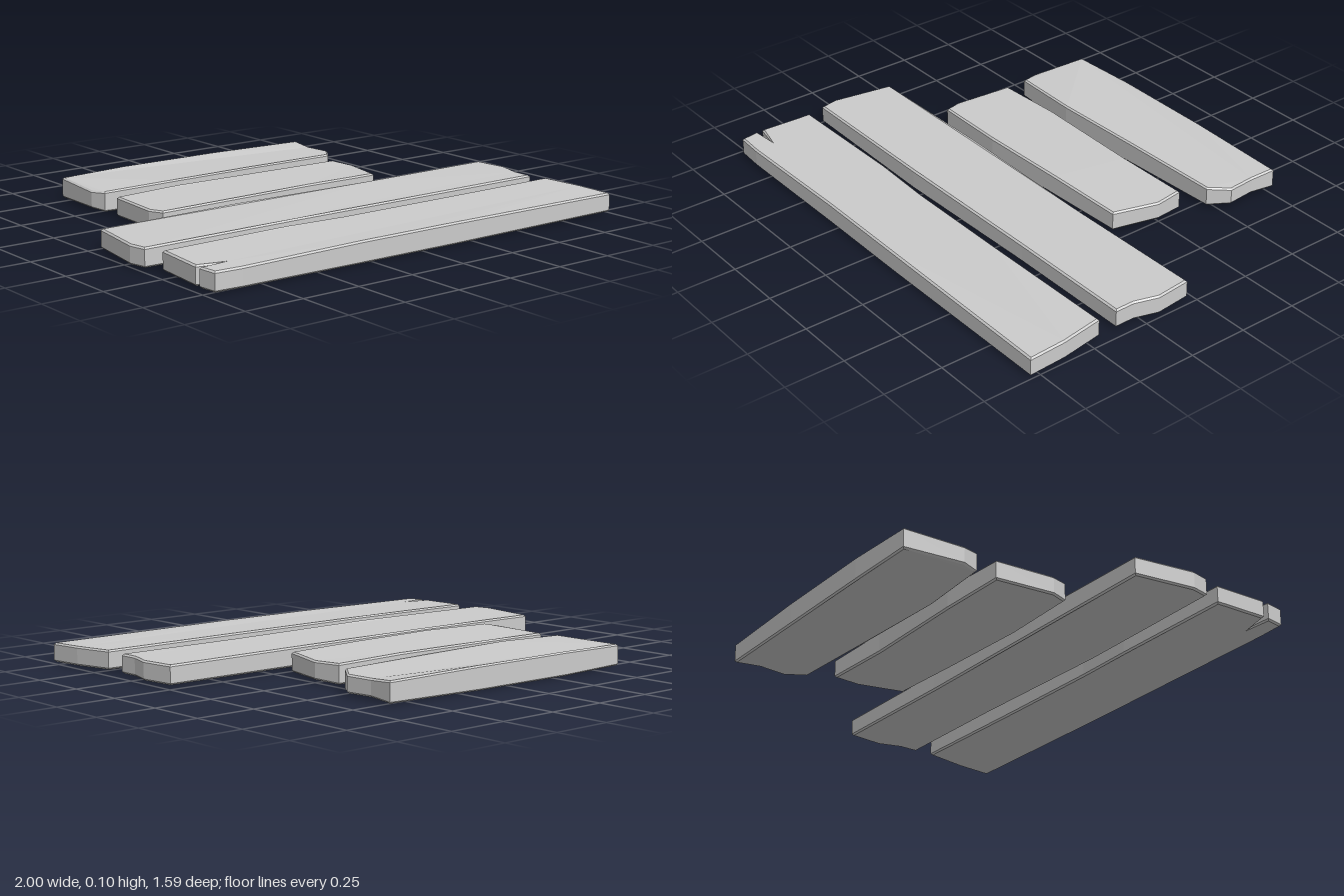
import * as THREE from 'three';

const material = new THREE.MeshStandardMaterial({ color: 0xcccccc, flatShading: true });
const BEVEL = 0.007, BOTTOM = 0.014, TOP = 0.092;

// Outlines seen from above as [x, z]; tilt leans a board across its width,
// dish raises its long edges
const planks = [
  { name: 'splitPlank', tilt: -0.02, dish: 0, outline: [
    [-0.96, 0.445], [-0.4, 0.445], [-0.13, 0.455], [0.35, 0.455], [0.965, 0.45],
    [0.99, 0.63], [0.995, 0.79], [0.15, 0.785], [-0.3, 0.78], [-0.85, 0.782], [-0.965, 0.775],
    [-0.975, 0.697], [-0.86, 0.694], [-0.975, 0.672]] },
  { name: 'longPlank', tilt: 0, dish: 0, outline: [
    [-0.96, 0.03], [-0.33, 0.027], [0.35, 0.036], [0.975, 0.03], [0.99, 0.18], [0.96, 0.28],
    [0.96, 0.365], [0.4, 0.365], [-0.3, 0.374], [-0.985, 0.365], [-1, 0.29]] },
  { name: 'shortPlank', tilt: 0.01, dish: 0.004, outline: [
    [-0.63, -0.37], [-0.33, -0.379], [0.16, -0.367], [0.485, -0.373], [0.5, -0.25],
    [0.45, -0.053], [0.1, -0.043], [-0.3, -0.031], [-0.63, -0.04], [-0.65, -0.11]] },
  { name: 'chippedPlank', tilt: 0, dish: 0.009, outline: [
    [-0.63, -0.79], [-0.32, -0.796], [0.15, -0.792], [0.6, -0.782], [0.59, -0.67], [0.6, -0.55],
    [0.54, -0.47], [0.1, -0.456], [-0.32, -0.444], [-0.63, -0.46], [-0.65, -0.53]] },
];

// Smooth swelling of the wood around a position along the board
const swell = (x, centre) => Math.exp(-(((x - centre) / 0.16) ** 2));

function makePlank({ name, tilt, dish, outline }) {
  const shape = new THREE.Shape(outline.map(([x, z]) => new THREE.Vector2(x, z)));
  const geometry = new THREE.ExtrudeGeometry(shape, {
    depth: TOP - BOTTOM - 2 * BEVEL, bevelEnabled: true, bevelSegments: 1,
    bevelSize: BEVEL, bevelThickness: BEVEL, bevelOffset: -BEVEL,
  });
  geometry.rotateX(Math.PI / 2);
  geometry.translate(0, TOP - BEVEL, 0);

  // Uneven hand-cut faces
  const zs = outline.map((p) => p[1]);
  const zMid = (Math.min(...zs) + Math.max(...zs)) / 2;
  const position = geometry.attributes.position;
  for (let i = 0; i < position.count; i++) {
    const x = position.getX(i), y = position.getY(i), z = position.getZ(i);
    const side = y > (TOP + BOTTOM) / 2 ? 1 : -1;
    const across = (z - zMid) / 0.17;
    const bump = 0.005 * (swell(x, -0.32) + swell(x, 0.15));
    position.setY(i, y + side * (bump + dish * (across * across - 0.5)) + tilt * (z - zMid));
  }
  geometry.computeVertexNormals();

  const mesh = new THREE.Mesh(geometry, material);
  mesh.name = name;
  return mesh;
}

export function createModel() {
  const group = new THREE.Group();
  group.name = 'woodenPlanks';
  for (const plank of planks) group.add(makePlank(plank));
  return group;
}
